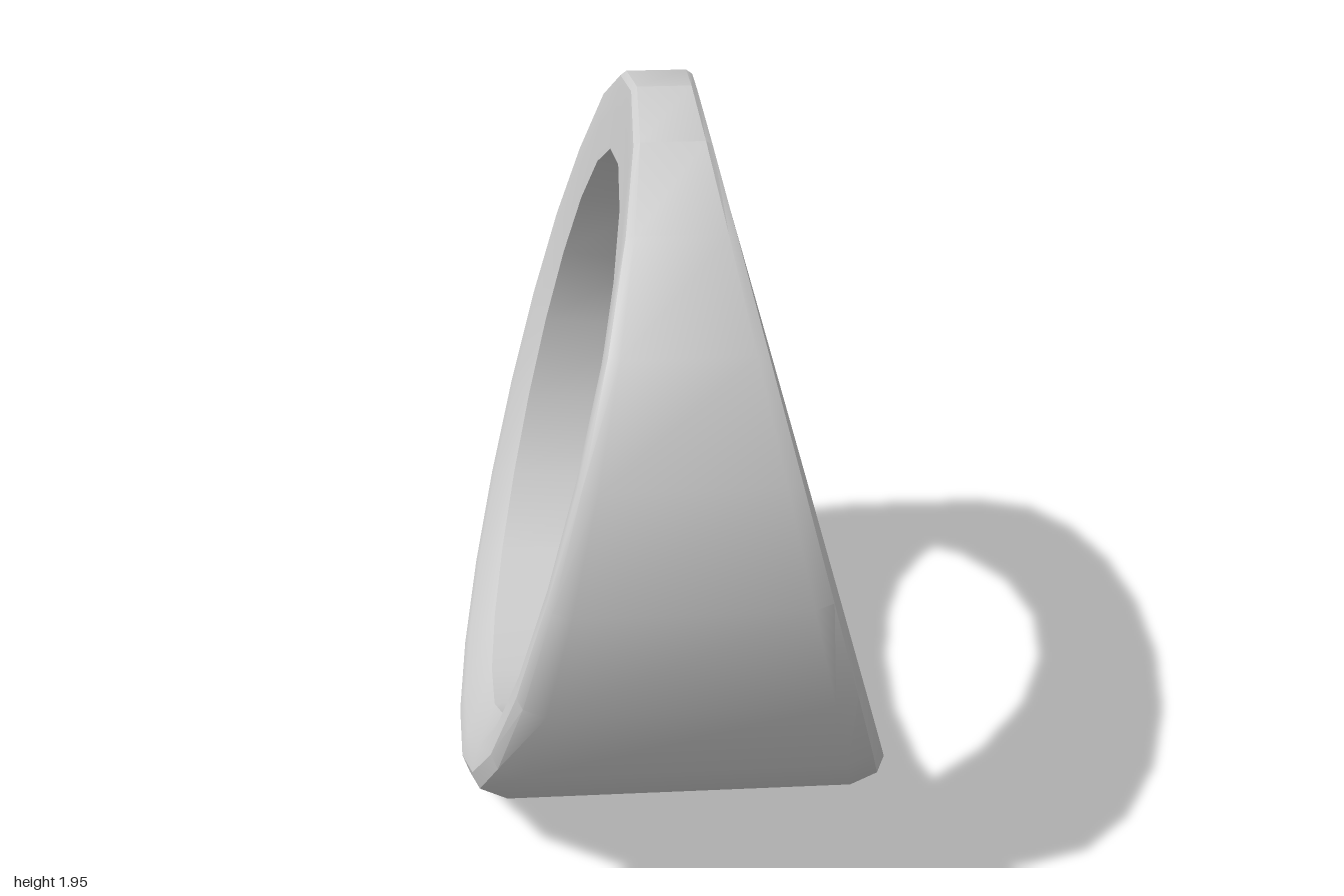
import * as THREE from 'three';
import { toCreasedNormals } from 'three/addons/utils/BufferGeometryUtils.js';

const SIDES = 20;

// Half cross-section: each entry is one ring, an ellipse leaning outwards to the bottom.
// top = [x, y] at the top, bottom = [x, y] at the bottom, rz = half depth
const HALF = [
  { top: [0.07, 1.952], bottom: [0.5, 0], rz: 1.0 },        // edge of the outer band
  { top: [0.085, 1.94], bottom: [0.578, 0.035], rz: 0.988 }, // rounded rim
  { top: [0.092, 1.905], bottom: [0.597, 0.09], rz: 0.972 }, // widest rim
  { top: [0.1, 1.85], bottom: [0.58, 0.15], rz: 0.9 },       // side face
  { top: [0.12, 1.745], bottom: [0.5, 0.225], rz: 0.785 },   // edge of the hole
];
const MIDDLE = { top: [0, 1.705], bottom: [0, 0.228], rz: 0.752 }; // narrowest part of the hole

function mirrored({ top, bottom, rz }) {
  return { top: [-top[0], top[1]], bottom: [-bottom[0], bottom[1]], rz };
}

function ringPoint({ top, bottom, rz }, angle) {
  const t = (1 - Math.cos(angle)) / 2; // 0 at the top, 1 at the bottom
  return [
    THREE.MathUtils.lerp(top[0], bottom[0], t),
    THREE.MathUtils.lerp(top[1], bottom[1], t),
    rz * Math.sin(angle),
  ];
}

function bandGeometry() {
  const rings = [...HALF, MIDDLE, ...HALF.map(mirrored).reverse()];
  const n = rings.length;
  const positions = [];
  const index = [];
  for (let i = 0; i < SIDES; i++) {
    const angle = (i / SIDES) * Math.PI * 2;
    for (let j = 0; j < n; j++) {
      positions.push(...ringPoint(rings[j], angle));
      const a = i * n + j;
      const b = ((i + 1) % SIDES) * n + j;
      const c = i * n + ((j + 1) % n);
      const d = ((i + 1) % SIDES) * n + ((j + 1) % n);
      index.push(a, b, c, b, d, c);
    }
  }
  const geometry = new THREE.BufferGeometry();
  geometry.setAttribute('position', new THREE.Float32BufferAttribute(positions, 3));
  geometry.setIndex(index);
  return toCreasedNormals(geometry, 0.6);
}

export function createModel() {
  const group = new THREE.Group();
  group.name = 'taperedRing';
  const band = new THREE.Mesh(bandGeometry(), new THREE.MeshStandardMaterial({ color: 0xcccccc }));
  band.name = 'band';
  group.add(band);
  return group;
}
